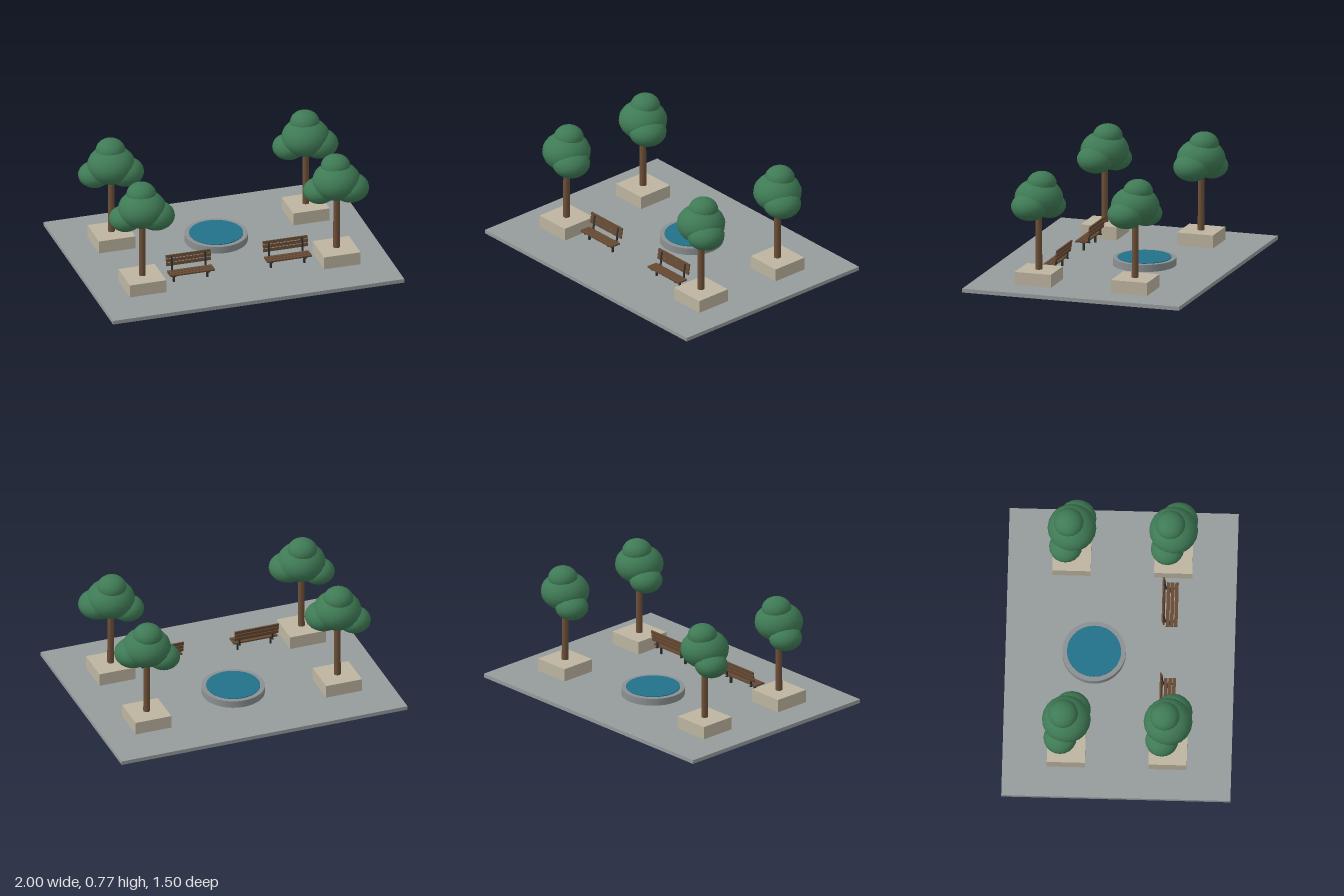
import * as THREE from 'three';

const mat = (color) => new THREE.MeshStandardMaterial({ color });
const MATS = {
  paving: mat(0x969b9c), stone: mat(0xbdb5a0), bark: mat(0x6e5038), leaf: mat(0x3f7a55),
  rim: mat(0x8b9092), water: mat(0x22728a), wood: mat(0x664a33), metal: mat(0x2b2e30),
};

function add(parent, name, geometry, material, x = 0, y = 0, z = 0) {
  const mesh = new THREE.Mesh(geometry, material);
  mesh.name = name;
  mesh.position.set(x, y, z);
  parent.add(mesh);
  return mesh;
}

const box = (w, h, d) => new THREE.BoxGeometry(w, h, d);
const cyl = (r, h, sides, rBottom = r) => new THREE.CylinderGeometry(r, rBottom, h, sides);

const GROUND = 0.026; // top of the paving

// Tree in a square planter; the crown is four flattened spheres
function makeTree() {
  const tree = new THREE.Group();
  tree.name = 'tree';
  add(tree, 'planter', box(0.25, 0.087, 0.25), MATS.stone, 0, GROUND + 0.0435, 0);
  add(tree, 'trunk', cyl(0.021, 0.43, 12, 0.023), MATS.bark, 0, 0.325, 0);
  const crown = [ // x, y, z, radius, height factor
    [0, 0.597, 0, 0.16, 0.78],
    [0.083, 0.553, 0.033, 0.125, 0.75],
    [-0.104, 0.524, -0.038, 0.109, 0.77],
    [0, 0.695, -0.02, 0.098, 0.81],
  ];
  for (const [x, y, z, r, flat] of crown) {
    add(tree, 'foliage', new THREE.SphereGeometry(r, 20, 14), MATS.leaf, x, y, z).scale.y = flat;
  }
  return tree;
}

// Slatted bench facing +z
function makeBench() {
  const bench = new THREE.Group();
  bench.name = 'bench';
  const length = 0.307;
  for (const z of [0.306, 0.333, 0.36]) {
    add(bench, 'seatSlat', box(length, 0.01, 0.023), MATS.wood, 0, 0.091, z);
  }
  [[0.134, 0.281], [0.16, 0.277], [0.186, 0.273]].forEach(([y, z]) => {
    add(bench, 'backSlat', box(length, 0.021, 0.009), MATS.wood, 0, y, z).rotation.x = -0.15;
  });
  for (const side of [-1, 1]) {
    const x = side * 0.115;
    add(bench, 'leg', box(0.011, 0.062, 0.014), MATS.metal, x, GROUND + 0.03, 0.325);
    add(bench, 'seatBracket', box(0.011, 0.008, 0.09), MATS.metal, x, 0.083, 0.325);
    add(bench, 'backPost', box(0.011, 0.106, 0.008), MATS.metal, x, 0.135, 0.285).rotation.x = -0.15;
  }
  return bench;
}

export function createModel() {
  const plaza = new THREE.Group();
  plaza.name = 'plaza';
  add(plaza, 'paving', box(2, GROUND, 1.5), MATS.paving, 0, GROUND / 2, 0);

  // Round pool
  const pool = new THREE.Group();
  pool.name = 'pool';
  pool.position.z = -0.17;
  add(pool, 'poolRim', cyl(0.208, 0.048, 48), MATS.rim, 0, GROUND + 0.024, 0);
  add(pool, 'water', cyl(0.177, 0.01, 48), MATS.water, 0, 0.074, 0);
  plaza.add(pool);

  // Four trees and two benches
  for (const side of [-1, 1]) {
    for (const end of [-1, 1]) {
      const tree = makeTree();
      tree.position.set(side * 0.667, 0, end * 0.333);
      plaza.add(tree);
    }
    const bench = makeBench();
    bench.position.x = side * 0.333;
    plaza.add(bench);
  }
  return plaza;
}
